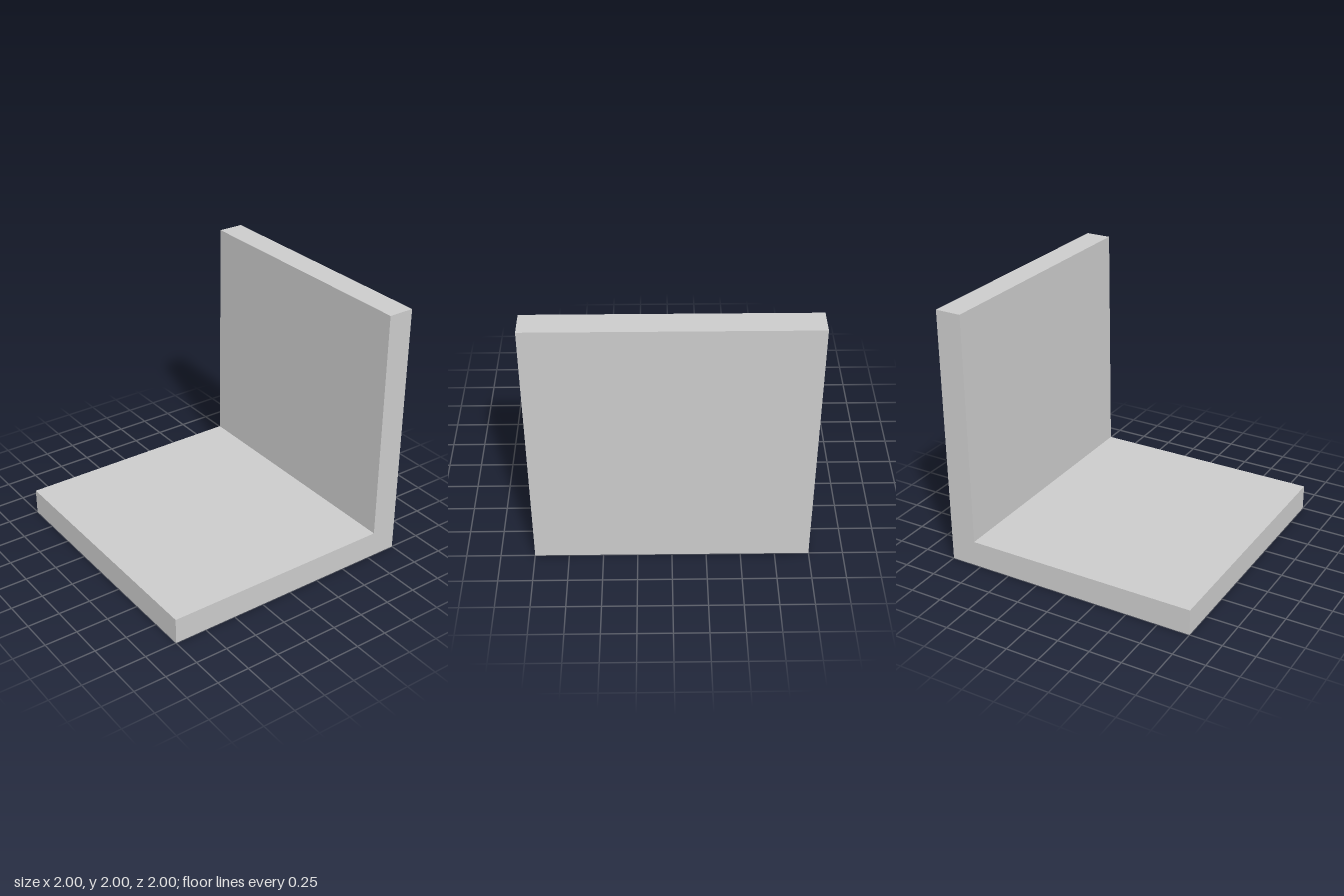
import * as THREE from 'three';

const SIZE = 2;
const THICKNESS = 0.2;

export function createModel() {
  const group = new THREE.Group();
  group.name = 'angleBracket';
  const h = SIZE / 2;

  // L-shaped side profile: shape x becomes model z, shape y stays up
  const profile = new THREE.Shape([
    [-h, 0], [h, 0], [h, THICKNESS],
    [-h + THICKNESS, THICKNESS], [-h + THICKNESS, SIZE], [-h, SIZE],
  ].map(([z, y]) => new THREE.Vector2(z, y)));

  // Base plate and upright back wall as one solid, swept across the width
  const geometry = new THREE.ExtrudeGeometry(profile, { depth: SIZE, bevelEnabled: false });
  geometry.translate(0, 0, -h);
  geometry.rotateY(-Math.PI / 2);

  const bracket = new THREE.Mesh(
    geometry,
    new THREE.MeshStandardMaterial({ color: 0xcccccc, flatShading: true }),
  );
  bracket.name = 'baseAndBackWall';
  group.add(bracket);
  return group;
}
